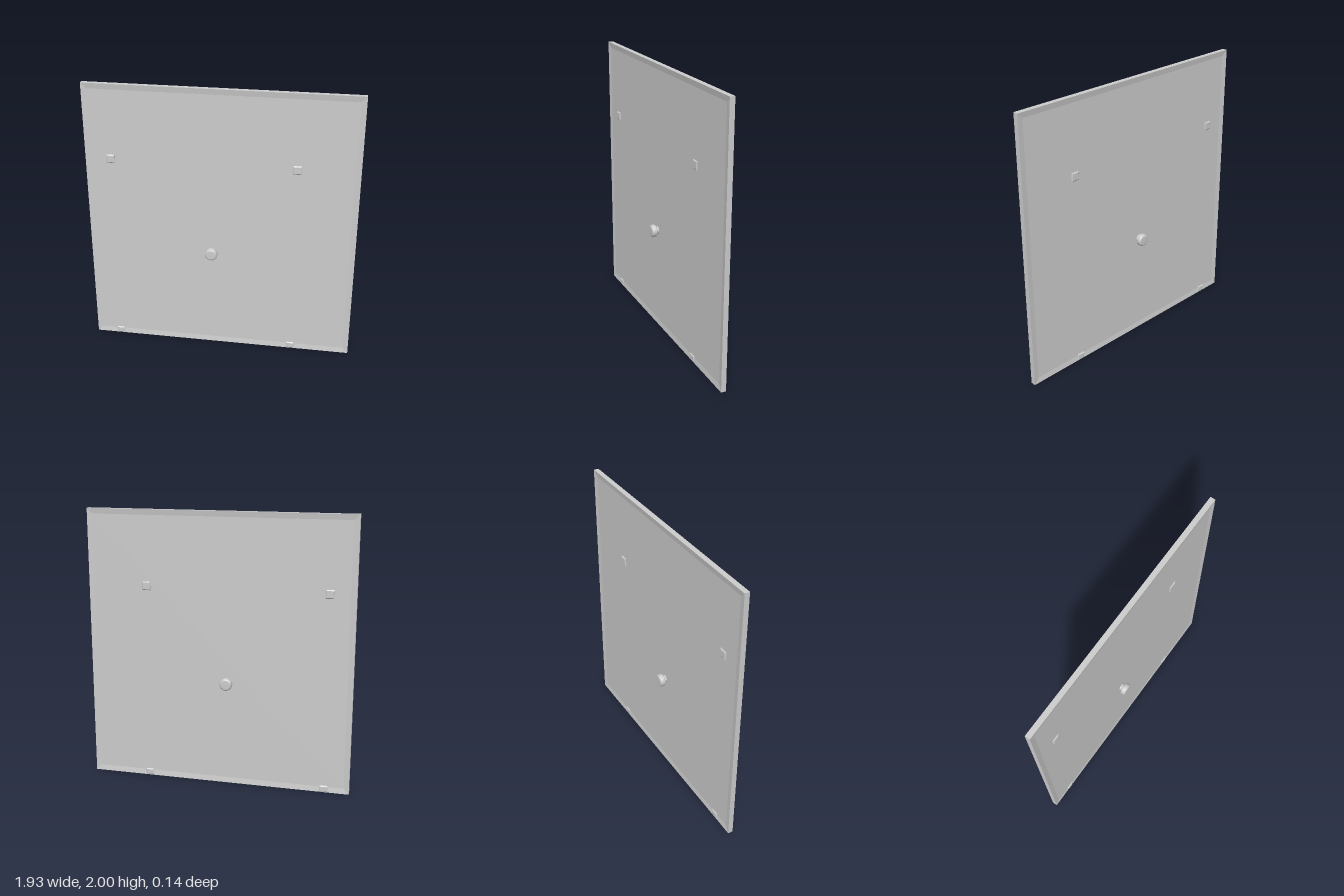
import * as THREE from 'three';

const material = new THREE.MeshStandardMaterial({ color: 0xcccccc });
const flat = new THREE.MeshStandardMaterial({ color: 0xcccccc, flatShading: true });

// Closed solid through rectangular rings [half width, half height, z], listed from back to front
function rectLoft(rings) {
  const pos = [], index = [];
  for (const [w, h, z] of rings) pos.push(-w, -h, z, w, -h, z, w, h, z, -w, h, z);
  for (let r = 0; r < rings.length - 1; r++) {
    for (let i = 0; i < 4; i++) {
      const a = r * 4 + i, b = r * 4 + (i + 1) % 4;
      index.push(a, b, b + 4, a, b + 4, a + 4);
    }
  }
  const n = (rings.length - 1) * 4;
  index.push(0, 2, 1, 0, 3, 2, n, n + 1, n + 2, n, n + 2, n + 3);
  const geo = new THREE.BufferGeometry();
  geo.setAttribute('position', new THREE.Float32BufferAttribute(pos, 3));
  geo.setIndex(index);
  const out = geo.toNonIndexed();
  out.computeVertexNormals();
  return out;
}

function add(parent, name, geometry, mat, x, y, z = 0) {
  const mesh = new THREE.Mesh(geometry, mat);
  mesh.name = name;
  mesh.position.set(x, y, z);
  parent.add(mesh);
  return mesh;
}

export function createModel() {
  const model = new THREE.Group();
  model.name = 'glassDoor';

  // Pane with a shallow sloped border on both faces
  const W = 0.967, H = 1, T = 0.0185, inset = 0.04, thin = 0.0125;
  add(model, 'pane', rectLoft([
    [W - inset, H - inset, -thin], [W, H, -T],
    [W, H, T], [W - inset, H - inset, thin],
  ]), flat, 0, H);

  // Small chamfered clips passing through the pane
  const clip = (h) => rectLoft([
    [0.023, h - 0.007, -0.0215], [0.03, h, -0.0165],
    [0.03, h, 0.0165], [0.023, h - 0.007, 0.0215],
  ]);
  for (const x of [-0.784, 0.534]) {
    add(model, 'upperClip', clip(0.031), flat, x, 1.455);
    add(model, 'lowerClip', clip(0.024), flat, x, 0.025);
  }

  // Round knob on each face, joined by a neck
  const knob = new THREE.Group();
  knob.name = 'knob';
  knob.position.set(-0.063, 0.77, 0);
  model.add(knob);
  const profile = [
    [0, 0], [0.028, 0], [0.028, 0.03], [0.038, 0.03], [0.045, 0.036],
    [0.045, 0.058], [0.041, 0.065], [0.034, 0.069], [0, 0.07],
  ].map(([r, y]) => new THREE.Vector2(r, y));
  // Each profile segment is its own band so the edges stay crisp
  for (const side of [1, -1]) {
    const half = new THREE.Group();
    half.name = side > 0 ? 'frontKnob' : 'backKnob';
    half.rotation.x = side * Math.PI / 2;
    knob.add(half);
    for (let i = 1; i < profile.length - 1; i++) {
      add(half, 'knobBand', new THREE.LatheGeometry([profile[i], profile[i + 1]], 32), material, 0, 0);
    }
  }
  return model;
}
